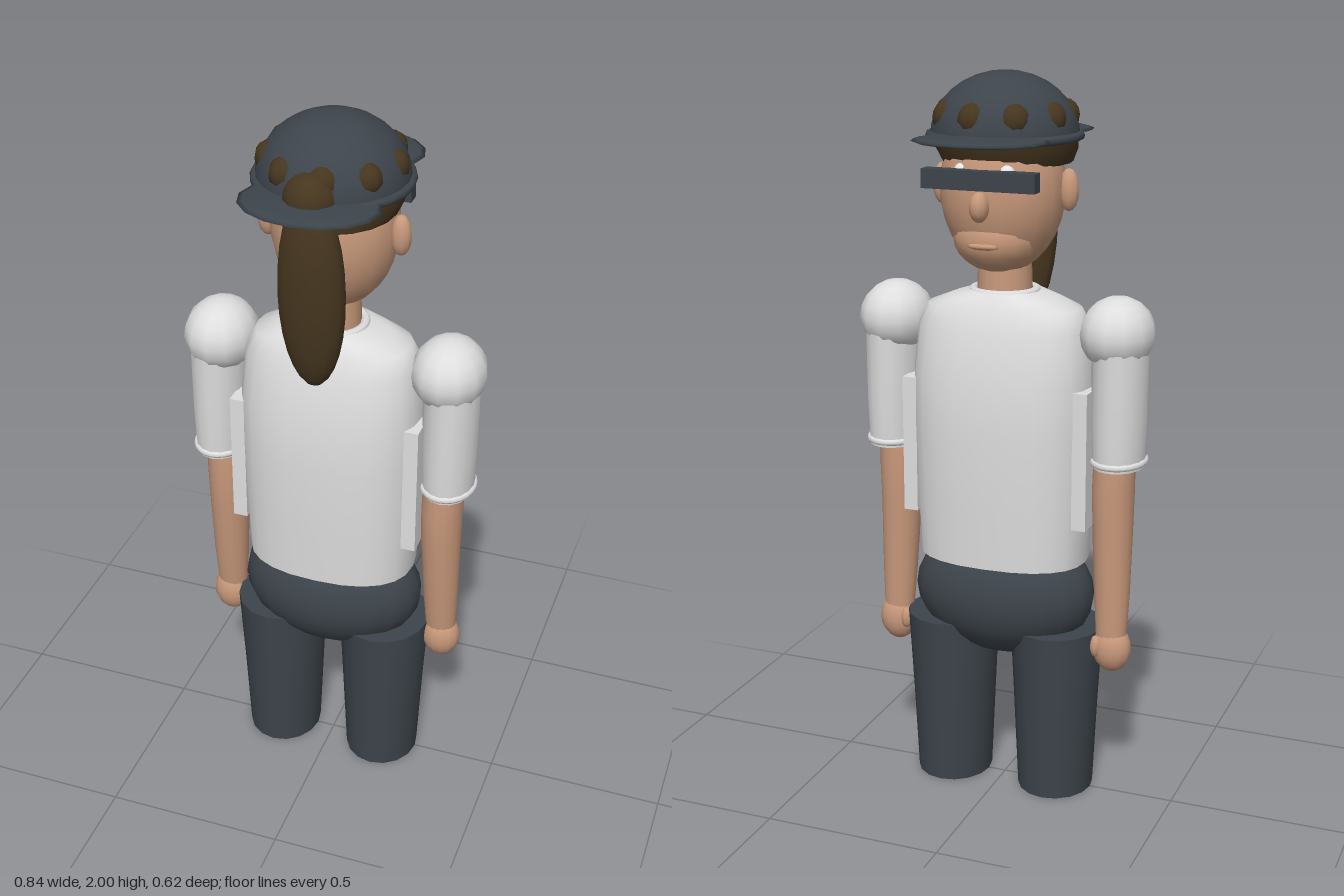
import * as THREE from 'three';

const mat = (name, color, side = THREE.FrontSide) => {
  const m = new THREE.MeshStandardMaterial({ color, side });
  m.name = name;
  return m;
};

// Closed loft through superellipse rings: [y, radiusX, radiusZ, centreX, centreZ]
function loft(rings, sides = 20, power = 2) {
  const pos = [], idx = [];
  const addRing = ([y, rx, rz, cx = 0, cz = 0]) => {
    for (let i = 0; i < sides; i++) {
      const a = (i / sides) * Math.PI * 2, c = Math.cos(a), s = Math.sin(a);
      pos.push(cx + Math.sign(c) * Math.pow(Math.abs(c), 2 / power) * rx, y,
        cz + Math.sign(s) * Math.pow(Math.abs(s), 2 / power) * rz);
    }
  };
  rings.forEach(addRing);
  for (let r = 0; r < rings.length - 1; r++) {
    for (let i = 0; i < sides; i++) {
      const j = (i + 1) % sides, a = r * sides + i, b = r * sides + j;
      idx.push(a, a + sides, b, b, a + sides, b + sides);
    }
  }
  // End caps have their own rings so the rims stay sharp
  [rings[0], rings[rings.length - 1]].forEach((ring, k) => {
    const start = pos.length / 3;
    addRing(ring);
    pos.push(ring[3] || 0, ring[0], ring[4] || 0);
    for (let i = 0; i < sides; i++) {
      const a = start + i, b = start + (i + 1) % sides, c = start + sides;
      if (k === 0) idx.push(c, a, b); else idx.push(c, b, a);
    }
  });
  const g = new THREE.BufferGeometry();
  g.setAttribute('position', new THREE.Float32BufferAttribute(pos, 3));
  g.setIndex(idx);
  g.computeVertexNormals();
  return g;
}

export function createModel() {
  const root = new THREE.Group();
  root.name = 'figure';
  const slate = mat('slate cloth', 0x3d444b);
  const white = mat('white shirt', 0xdedede);
  const skin = mat('skin', 0xc8997b);
  const brown = mat('brown hair', 0x46361f);
  const eyeWhite = mat('eye white', 0xf2f2f2);

  const add = (name, geo, material, p = [0, 0, 0], parent = root) => {
    const m = new THREE.Mesh(geo, material);
    m.name = name;
    m.position.set(...p);
    parent.add(m);
    return m;
  };
  const ball = (name, material, p, r, w = 16, h = 12, parent = root) => {
    const m = add(name, new THREE.SphereGeometry(1, w, h), material, p, parent);
    m.scale.set(...r);
    return m;
  };
  const ring = (name, material, p, r, tube, zScale = 1, parent = root) => {
    const g = new THREE.TorusGeometry(r, tube, 8, 24).rotateX(Math.PI / 2);
    const m = add(name, g, material, p, parent);
    m.scale.z = zScale;
    return m;
  };

  // Shirt body, collar and neck
  add('shirt', loft([
    [0.68, 0.237, 0.158], [0.85, 0.245, 0.167], [1.05, 0.25, 0.175], [1.2, 0.25, 0.17],
    [1.33, 0.238, 0.145], [1.385, 0.212, 0.122], [1.41, 0.15, 0.108], [1.43, 0.085, 0.095],
  ], 24, 2.4), white);
  ring('collar', white, [0, 1.425, 0], 0.085, 0.012);
  add('neck', new THREE.CylinderGeometry(0.07, 0.075, 0.16, 16), skin, [0, 1.48, 0]);

  // Hips
  ball('hips', slate, [0, 0.575, 0], [0.26, 0.185, 0.166], 20, 14);

  // Legs, arms and side panels
  for (const s of [1, -1]) {
    const side = s > 0 ? 'left' : 'right';
    add(side + 'Leg', loft([
      [0, 0.105, 0.115, s * 0.155], [0.25, 0.116, 0.128, s * 0.155], [0.49, 0.128, 0.14, s * 0.156],
    ], 16), slate);
    add(side + 'SidePanel', new THREE.BoxGeometry(0.04, 0.38, 0.18), white, [s * 0.245, 0.99, 0]);

    const arm = new THREE.Group();
    arm.name = side + 'Arm';
    root.add(arm);
    ball('shoulder', white, [s * 0.318, 1.33, 0], [0.1, 0.1, 0.114], 12, 10, arm);
    add('sleeve', loft([
      [0.97, 0.07, 0.088, s * 0.328], [1.1, 0.074, 0.096, s * 0.328], [1.3, 0.074, 0.1, s * 0.328],
    ], 16), white, [0, 0, 0], arm);
    ring('cuff', white, [s * 0.328, 0.985, 0], 0.068, 0.01, 1.24, arm);
    add('forearm', loft([
      [0.48, 0.043, 0.036, s * 0.32, -0.015], [0.6, 0.049, 0.048, s * 0.318, -0.008],
      [0.8, 0.055, 0.063, s * 0.314, 0], [0.9, 0.058, 0.069, s * 0.313, 0],
      [0.98, 0.056, 0.066, s * 0.315, 0],
    ], 16), skin, [0, 0, 0], arm);
    ball('hand', skin, [s * 0.322, 0.445, -0.015], [0.055, 0.068, 0.046], 14, 10, arm);
    ball('thumb', skin, [s * 0.285, 0.455, -0.045], [0.017, 0.032, 0.017], 8, 6, arm);
  }

  // Head, facing -z
  const head = new THREE.Group();
  head.name = 'head';
  root.add(head);
  ball('skull', skin, [0, 1.7, -0.015], [0.167, 0.225, 0.16], 20, 16, head);
  ball('jaw', skin, [0, 1.575, -0.06], [0.115, 0.09, 0.105], 16, 12, head);
  ball('nose', skin, [0, 1.67, -0.18], [0.026, 0.04, 0.032], 10, 8, head);
  ball('lips', skin, [0, 1.565, -0.155], [0.045, 0.01, 0.014], 10, 6, head);
  add('glasses', new THREE.BoxGeometry(0.31, 0.05, 0.04), slate, [0, 1.738, -0.176], head);
  for (const s of [1, -1]) {
    ball('ear', skin, [s * 0.178, 1.7, 0], [0.028, 0.056, 0.026], 10, 8, head);
    ball('eye', eyeWhite, [s * 0.06, 1.752, -0.145], [0.025, 0.025, 0.02], 10, 8, head);
  }

  // Hair under the cap, bun and ponytail
  add('hair', loft([
    [1.765, 0.172, 0.172, 0, 0.02], [1.8, 0.188, 0.182, 0, 0.012], [1.84, 0.19, 0.185, 0, 0.005],
  ], 20), brown);
  ball('bun', brown, [0, 1.845, 0.162], [0.072, 0.07, 0.072], 12, 10);
  ball('ponytail', brown, [0, 1.59, 0.165], [0.09, 0.276, 0.058], 14, 14).rotation.x = 0.05;

  // Cap: dome, band, front and rear brims, ring of patches
  const cap = new THREE.Group();
  cap.name = 'cap';
  root.add(cap);
  const dome = new THREE.SphereGeometry(1, 24, 8, 0, Math.PI * 2, 0, Math.PI / 2);
  add('dome', dome, slate, [0, 1.83, 0], cap).scale.set(0.197, 0.17, 0.197);
  ring('band', slate, [0, 1.835, 0], 0.197, 0.012, 1, cap);
  for (const s of [1, -1]) {
    ball('brim', slate, [0, 1.836, s * 0.175], [0.182, 0.013, 0.135], 16, 8, cap);
  }
  for (let i = 0; i < 9; i++) {
    const a = (i * 40 * Math.PI) / 180;
    ball('patch', brown, [Math.cos(a) * 0.154, 1.885, Math.sin(a) * 0.154], [0.042, 0.044, 0.042], 10, 8, cap);
  }
  return root;
}
